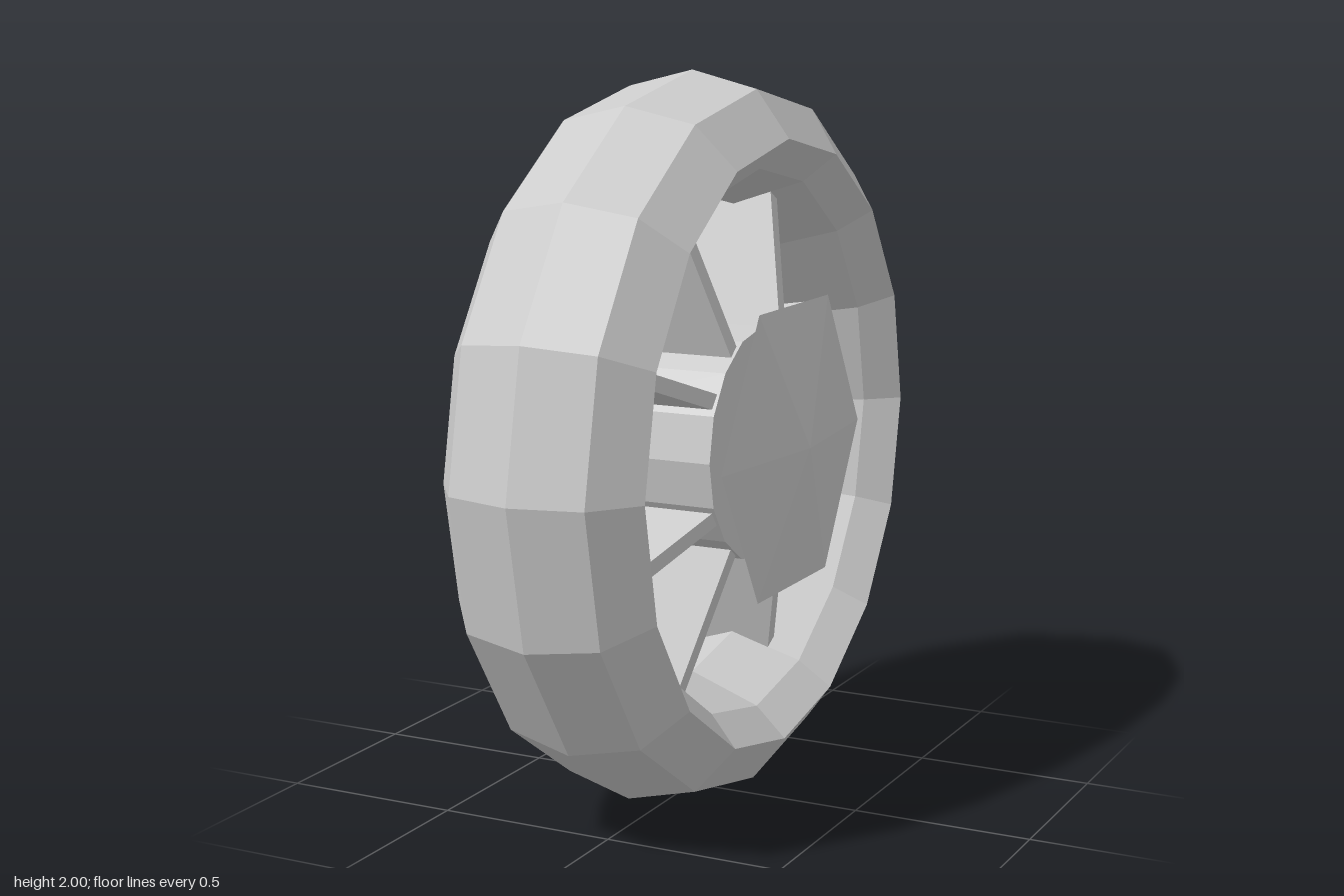
import * as THREE from 'three';

const material = new THREE.MeshStandardMaterial({ color: 0xcccccc, flatShading: true });

// Revolve [x, radius] pairs around the x axis
function revolve(name, profile, sides) {
  const points = profile.map(([x, r]) => new THREE.Vector2(r, x));
  const geometry = new THREE.LatheGeometry(points, sides).rotateZ(-Math.PI / 2);
  const mesh = new THREE.Mesh(geometry, material);
  mesh.name = name;
  return mesh;
}

// Thin plank running along +y, deeper at the hub than at the rim
function spokeGeometry(start, end) {
  const geometry = new THREE.BoxGeometry(1, end - start, 0.043);
  geometry.translate(0, (start + end) / 2, 0);
  const pos = geometry.attributes.position;
  for (let i = 0; i < pos.count; i++) {
    const t = (pos.getY(i) - start) / (end - start);
    pos.setX(i, pos.getX(i) * 2 * THREE.MathUtils.lerp(0.21, 0.105, t));
  }
  return geometry;
}

export function createModel() {
  const model = new THREE.Group();
  model.name = 'wheel';
  const wheel = new THREE.Group();
  wheel.name = 'wheelBody';
  wheel.position.y = 1;
  model.add(wheel);

  // Tyre with a faceted, closed cross-section
  wheel.add(revolve('tyre', [
    [0, 0.67], [-0.2, 0.743], [-0.285, 0.825], [-0.19, 0.953], [0, 1],
    [0.19, 0.953], [0.285, 0.825], [0.2, 0.743], [0, 0.67],
  ], 16));

  // Central drum
  wheel.add(revolve('hubDrum', [[-0.21, 0], [-0.21, 0.32], [0.21, 0.32], [0.21, 0]], 16));

  // Six-sided hub caps, the left one larger
  wheel.add(revolve('leftHubCap', [[0.205, 0], [0.305, 0.445], [0.355, 0]], 6));
  wheel.add(revolve('rightHubCap', [[-0.36, 0], [-0.305, 0.345], [-0.2, 0]], 6));

  // Four diverging pairs of spokes
  const geometry = spokeGeometry(0.15, 0.6);
  const spread = THREE.MathUtils.degToRad(25.5);
  for (let i = 0; i < 4; i++) {
    const pair = new THREE.Group();
    pair.name = 'spokePair' + (i + 1);
    pair.rotation.x = Math.PI / 4 + (i * Math.PI) / 2;
    for (const side of [-1, 1]) {
      const spoke = new THREE.Mesh(geometry, material);
      spoke.name = 'spoke';
      spoke.position.y = 0.133;
      spoke.rotation.x = side * spread;
      pair.add(spoke);
    }
    wheel.add(pair);
  }
  return model;
}
